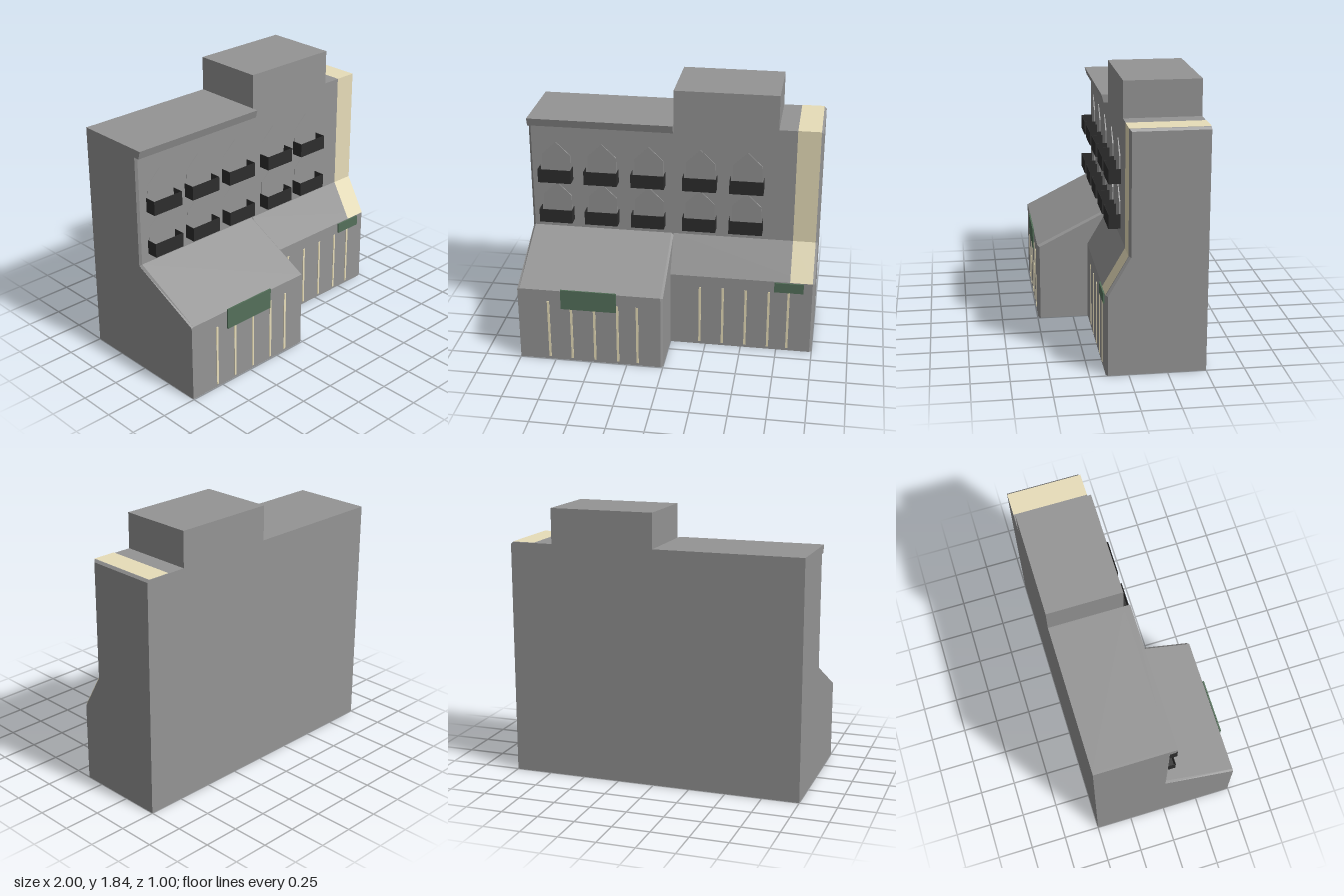
import * as THREE from 'three';
import { mergeGeometries } from 'three/addons/utils/BufferGeometryUtils.js';

const mat = (color) => new THREE.MeshStandardMaterial({ color, flatShading: true, side: THREE.DoubleSide });

// Skin between [x, profile] sections; each profile is a list of [z, y] running from back to front
function skin(sections) {
  const pos = [];
  for (let s = 0; s < sections.length - 1; s++) {
    const [xa, a] = sections[s], [xb, b] = sections[s + 1];
    for (let i = 0; i < a.length - 1; i++) {
      const p = [xa, a[i][1], a[i][0]], q = [xa, a[i + 1][1], a[i + 1][0]];
      const r = [xb, b[i + 1][1], b[i + 1][0]], t = [xb, b[i][1], b[i][0]];
      pos.push(...p, ...q, ...r, ...p, ...r, ...t);
    }
  }
  const g = new THREE.BufferGeometry();
  g.setAttribute('position', new THREE.Float32BufferAttribute(pos, 3));
  g.computeVertexNormals();
  return g;
}

// Flat end wall of a profile, facing -x or +x
function endWall(x, profile, side) {
  const g = new THREE.ShapeGeometry(new THREE.Shape(profile.map(([z, y]) => new THREE.Vector2(z, y))));
  g.rotateY(-Math.PI / 2).translate(x, 0, 0);
  if (side > 0) g.index.array.reverse();
  const flat = g.toNonIndexed();
  flat.deleteAttribute('uv');
  flat.computeVertexNormals();
  return flat;
}

// Closed prism along x from a profile running clockwise (up the back, down the front)
const prism = (x0, x1, profile) => mergeGeometries([
  skin([[x0, [...profile, profile[0]]], [x1, [...profile, profile[0]]]]),
  endWall(x0, profile, -1), endWall(x1, profile, 1),
]);

// Gabled window whose face rises from the wall on one side only
function gableWindow() {
  const shape = new THREE.Shape([[-0.1, 0], [0.1, 0], [0.1, 0.18], [0, 0.275], [-0.1, 0.18]]
    .map(([x, y]) => new THREE.Vector2(x, y)));
  const g = new THREE.ExtrudeGeometry(shape, { depth: 0.01, bevelEnabled: false });
  const p = g.attributes.position;
  for (let i = 0; i < p.count; i++) {
    if (p.getZ(i) > 0) p.setZ(i, 0.001 + 0.04 * (p.getX(i) + 0.1));
  }
  g.computeVertexNormals();
  return g;
}

export function createModel() {
  const model = new THREE.Group();
  const grey = mat(0x949494), cream = mat(0xe7ddb9), green = mat(0x54705a), dark = mat(0x2d2d2d);

  const add = (name, geometry, material, parent = model) => {
    const mesh = new THREE.Mesh(geometry, material);
    mesh.name = name;
    parent.add(mesh);
    return mesh;
  };
  // Box given by its limits
  const box = (name, x0, x1, y0, y1, z0, z1, material, parent) =>
    add(name, new THREE.BoxGeometry(x1 - x0, y1 - y0, z1 - z0), material, parent)
      .position.set((x0 + x1) / 2, (y0 + y1) / 2, (z0 + z1) / 2);

  // Right wing with the deep shop bay; open underneath, bevelled at both ends
  const deep = [[-0.5, 0], [-0.5, 1.6], [0, 1.6], [0, 0.79], [0.495, 0.54], [0.495, 0]];
  const deepOuter = [[-0.5, 0], [-0.5, 1.6], [-0.012, 1.6], [-0.012, 0.78], [0.495, 0.535], [0.495, 0]];
  const deepInner = [[-0.5, 0], [-0.5, 1.6], [0, 1.6], [0, 0.775], [0.48, 0.53], [0.48, 0]];
  add('deepWing', mergeGeometries([
    skin([[-1, deepOuter], [-0.985, deep], [-0.015, deep], [0, deepInner]]),
    endWall(-1, deepOuter, -1), endWall(0, deepInner, 1),
  ]), grey);

  // Left wing with the shallow shop bay; bevelled along its outer edge
  const shallow = [[-0.5, 0], [-0.5, 1.597], [0, 1.597], [0, 0.79], [0.145, 0.54], [0.145, 0]];
  const shallowOuter = [[-0.5, 0], [-0.5, 1.583], [-0.012, 1.583], [-0.012, 0.785], [0.132, 0.535], [0.132, 0]];
  add('shallowWing', mergeGeometries([
    skin([[0, shallow], [0.985, shallow], [1, shallowOuter]]),
    endWall(1, shallowOuter, 1),
  ]), grey);

  box('roofBlock', 0, 0.705, 1.59, 1.835, -0.5, 0, grey);

  // Cream band over the roof, down the facade and the bay slope
  const band = [[-0.5, 1.6], [0.003, 1.6], [0.003, 0.791], [0.148, 0.541]];
  add('creamBand', skin([[0.83, band], [0.985, band]]), cream);

  // Cornice with a slanted face, level with the roof
  add('cornice', prism(-1, 0, [[-0.012, 1.545], [-0.012, 1.6], [0.045, 1.6], [0.03, 1.545]]), grey);

  // Gabled windows, each behind a thin-walled balcony tray open at the top
  const gable = gableWindow();
  for (const y of [0.85, 1.15]) {
    for (const x of [-0.93, -0.61, -0.285, 0.07, 0.39]) {
      const w = 0.23, t = 0.003, h = 0.097, d = 0.08;
      add('window', gable, grey).position.set(x + w / 2, y, 0);
      const balcony = new THREE.Group();
      balcony.name = 'balcony';
      model.add(balcony);
      box('balconyFloor', x, x + w, y, y + t, 0, d, dark, balcony);
      box('balconyFront', x, x + w, y, y + h, d - t, d, dark, balcony);
      for (const sx of [x, x + w - t]) box('balconySide', sx, sx + t, y, y + h, 0, d, dark, balcony);
    }
  }

  // Slim shopfront posts
  const posts = [
    [0.495, [-0.789, -0.631, -0.471, -0.311, -0.175]],
    [0.145, [0.208, 0.368, 0.528, 0.688, 0.824]],
  ];
  for (const [z, xs] of posts)
    for (const x of xs) box('shopPost', x - 0.008, x + 0.008, 0.02, 0.457, z, z + 0.004, cream);

  // Blank shop signs
  box('deepBaySign', -0.7, -0.317, 0.408, 0.553, 0.495, 0.505, green);
  box('shallowBaySign', 0.723, 0.925, 0.463, 0.535, 0.145, 0.155, green);

  // Shop rooms, seen only through the open underside
  add('deepBayRoom', prism(-0.97, -0.03, [[0.24, 0.12], [0.24, 0.5], [0.485, 0.5], [0.485, 0.01]]), grey);
  box('shallowBayRoom', 0.09, 0.97, 0.01, 0.5, -0.05, 0.125, grey);

  return model;
}
